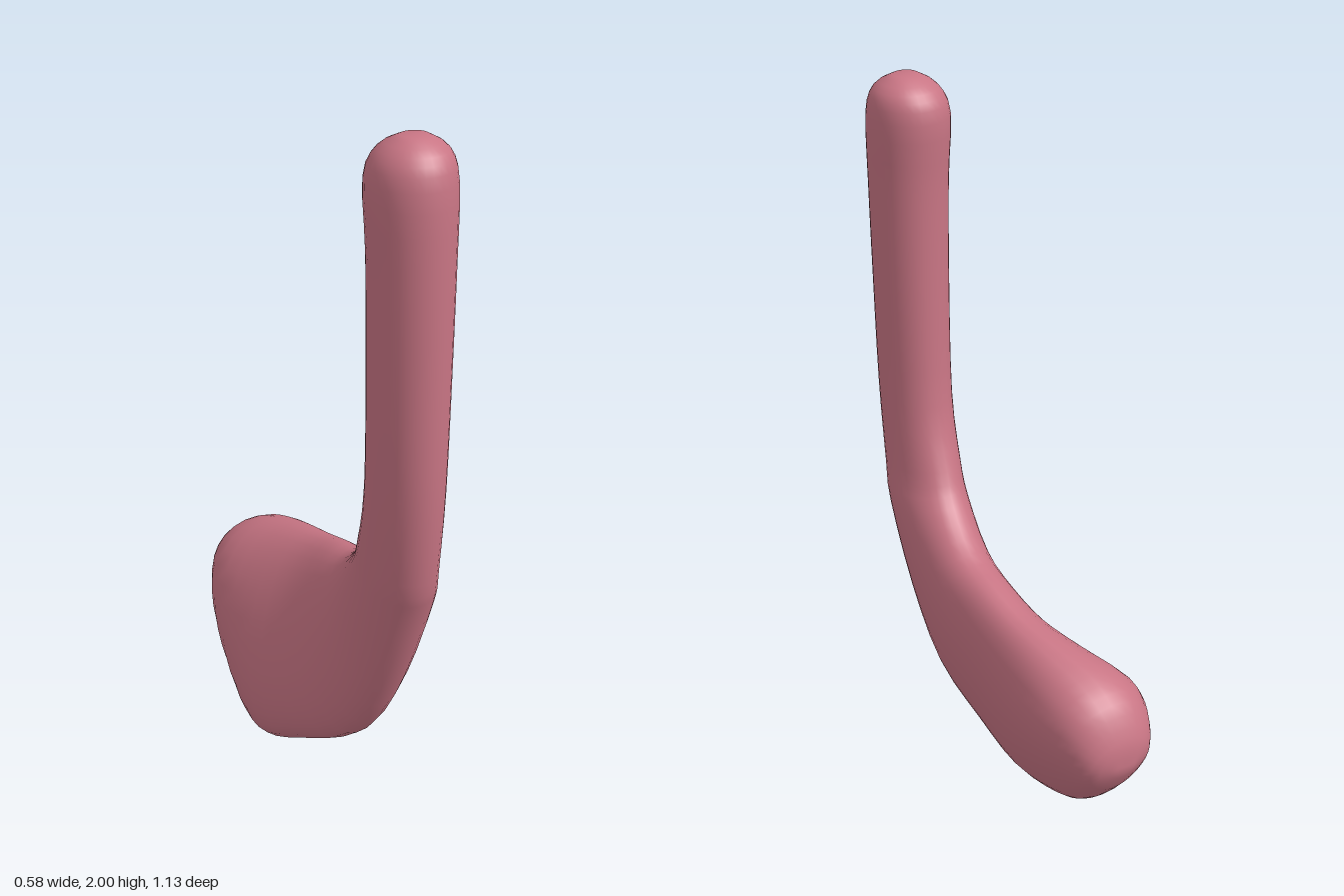
import * as THREE from 'three';

// Cross-sections from the handle's tip down to the end of the head:
// inner z, inner y, outer z, outer y, inner and outer sideways offset,
// inner and outer half thickness, roundness of the outer edge (lower is blunter)
const SECTIONS = [
  [0.41, 2.0, 0.47, 2.0, 0.03, 0.03, 0.035, 0.035, 1],
  [0.35, 1.965, 0.525, 1.965, 0.03, 0.03, 0.088, 0.088, 1],
  [0.323, 1.89, 0.556, 1.89, 0.025, 0.025, 0.113, 0.113, 1],
  [0.33, 1.7, 0.56, 1.7, 0.027, 0.027, 0.108, 0.108, 1],
  [0.325, 1.4, 0.555, 1.4, 0.03, 0.03, 0.103, 0.103, 1],
  [0.3, 1.05, 0.545, 1.08, 0.037, 0.033, 0.098, 0.1, 1],
  [0.24, 0.87, 0.51, 0.82, 0.045, 0.04, 0.096, 0.103, 1],
  [0.18, 0.78, 0.47, 0.7, 0.06, 0.045, 0.1, 0.112, 1],
  [0.06, 0.69, 0.36, 0.42, 0.08, 0.036, 0.11, 0.114, 0.95],
  [-0.06, 0.655, 0.23, 0.19, 0.085, 0.01, 0.12, 0.13, 0.85],
  [-0.18, 0.62, 0.06, 0.07, 0.08, -0.038, 0.13, 0.152, 0.72],
  [-0.3, 0.595, -0.09, 0.0, 0.058, -0.065, 0.162, 0.16, 0.7],
  [-0.42, 0.56, -0.27, 0.035, 0.025, -0.05, 0.2, 0.13, 0.75],
  [-0.5, 0.51, -0.4, 0.12, 0.015, -0.015, 0.175, 0.1, 0.85],
  [-0.545, 0.42, -0.515, 0.24, 0.005, 0.01, 0.11, 0.085, 1],
  [-0.555, 0.36, -0.555, 0.32, 0.005, 0.005, 0.03, 0.03, 1],
];

// The head points back and to one side; SIDE is across it
const SIDE = new THREE.Vector3(0.95, 0, -0.32);
const place = (z, y, u) => new THREE.Vector3((u + 0.32 * z) / 0.95, y, z);

// Smooth in-between section
function sectionAt(t) {
  const last = SECTIONS.length - 1;
  const i = Math.min(Math.floor(t), last - 1), f = t - i;
  const row = (k) => SECTIONS[Math.max(0, Math.min(last, k))];
  return row(i).map((p1, k) => {
    const p0 = row(i - 1)[k], p2 = row(i + 1)[k], p3 = row(i + 2)[k];
    return p1 + 0.5 * f * (p2 - p0 + f * (2 * p0 - 5 * p1 + 4 * p2 - p3 + f * (3 * (p1 - p2) + p3 - p0)));
  });
}

function loftGeometry(steps, around) {
  const positions = [], index = [];
  const rows = (SECTIONS.length - 1) * steps + 1;
  const ends = [];
  for (let i = 0; i < rows; i++) {
    const [zi, yi, zo, yo, ui, uo, wi, wo, round] = sectionAt(i / steps);
    const inner = place(zi, yi, ui), outer = place(zo, yo, uo);
    if (i === 0 || i === rows - 1) ends.push(inner.clone().lerp(outer, 0.5));
    for (let j = 0; j < around; j++) {
      const a = (j / around) * Math.PI * 2;
      const k = (1 - Math.cos(a)) / 2, s = Math.sin(a);
      const power = 0.95 + (round - 0.95) * k;
      const width = Math.sign(s) * Math.abs(s) ** power * (wi + (wo - wi) * k);
      const p = inner.clone().lerp(outer, k).addScaledVector(SIDE, width);
      positions.push(p.x, Math.max(0, p.y), p.z);
    }
  }
  const first = rows * around;
  ends.forEach((e) => positions.push(e.x, e.y, e.z));
  for (let j = 0; j < around; j++) {
    const n = (j + 1) % around;
    for (let i = 0; i < rows - 1; i++) {
      const a = i * around + j, b = i * around + n;
      index.push(a, b, a + around, b, b + around, a + around);
    }
    // End caps
    const base = (rows - 1) * around;
    index.push(first, n, j, first + 1, base + j, base + n);
  }
  const geometry = new THREE.BufferGeometry();
  geometry.setAttribute('position', new THREE.Float32BufferAttribute(positions, 3));
  geometry.setIndex(index);
  geometry.computeVertexNormals();
  return geometry;
}

export function createModel() {
  const group = new THREE.Group();
  group.name = 'bentClub';
  // Handle and head flow into each other as one smooth body
  const body = new THREE.Mesh(
    loftGeometry(3, 32),
    new THREE.MeshStandardMaterial({ color: 0xc87584 })
  );
  body.name = 'handleAndHead';
  group.add(body);
  return group;
}
